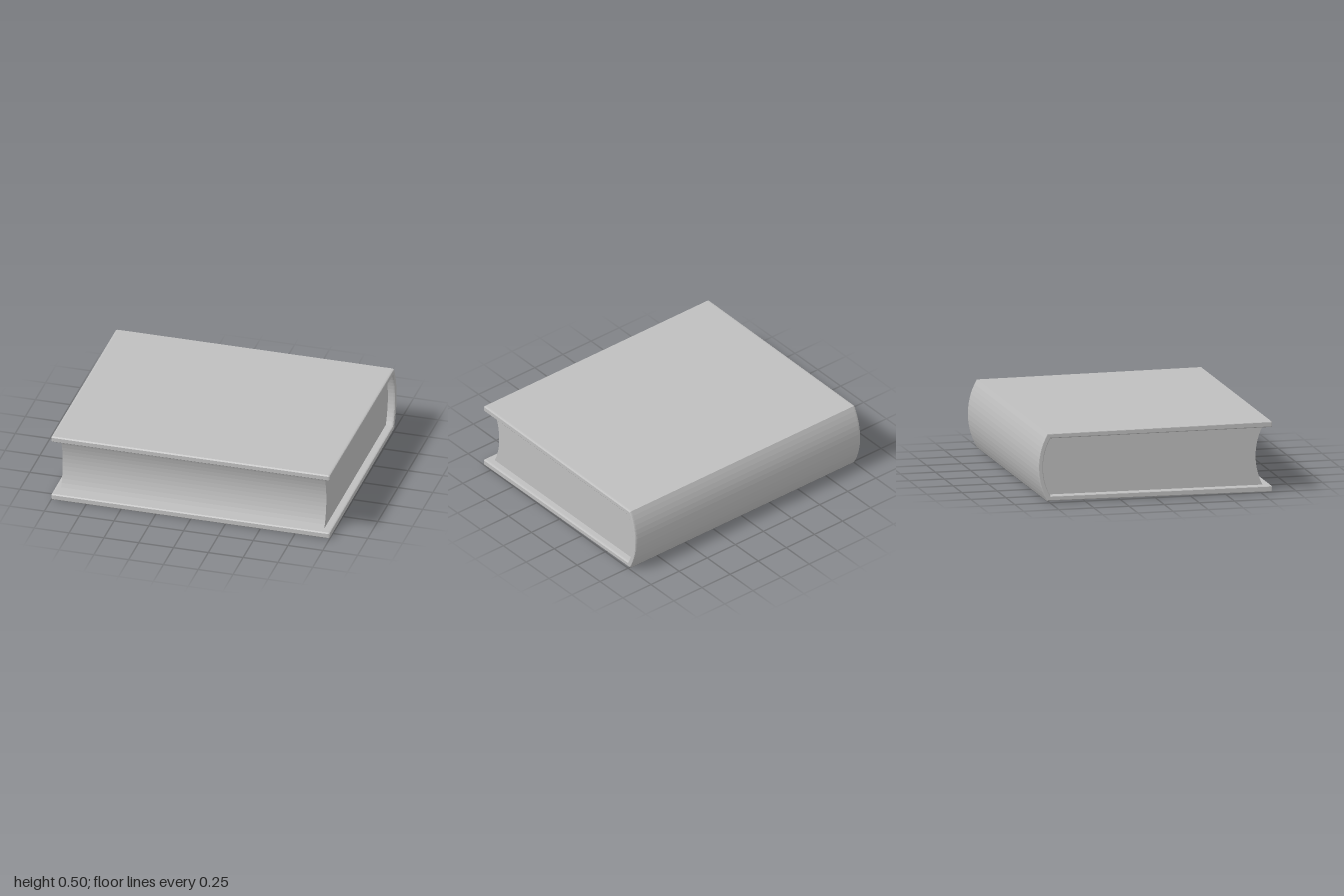
import * as THREE from 'three';

// Points on a shallow arc from (x, y0) to (x, y1), bulging along x by sag
function arc(x, sag, y0, y1, steps) {
  const half = Math.abs(y1 - y0) / 2;
  const r = (half * half + sag * sag) / (2 * sag);
  const a = Math.asin(half / r);
  return Array.from({ length: steps + 1 }, (_, i) => {
    const t = a * (2 * i / steps - 1);
    return new THREE.Vector2(
      x + r * (Math.cos(t) - Math.cos(a)),
      (y0 + y1) / 2 + Math.sign(y1 - y0) * r * Math.sin(t)
    );
  });
}

// Extrude a profile (u = -z, v = y) along the x axis between x0 and x1
function extrudeAlongX(points, x0, x1, bevel, bevelLength) {
  const geo = new THREE.ExtrudeGeometry(new THREE.Shape(points), {
    depth: x1 - x0 - 2 * bevelLength,
    bevelEnabled: bevel > 0,
    bevelSize: bevel,
    bevelOffset: -bevel,
    bevelThickness: bevelLength,
    bevelSegments: 3,
  });
  geo.rotateY(Math.PI / 2);
  geo.translate(x0 + bevelLength, 0, 0);
  return geo;
}

export function createModel() {
  const book = new THREE.Group();
  book.name = 'book';
  const grey = new THREE.MeshStandardMaterial({ color: 0xbfbfbf });
  grey.name = 'grey';
  const P = (x, y) => new THREE.Vector2(x, y);

  // Cover: two boards joined by a rounded spine, softened front edges
  const coverProfile = [
    P(-0.825, 0), ...arc(0.77, 0.064, 0.012, 0.488, 14),
    P(-0.825, 0.498), P(-0.834, 0.49), P(-0.834, 0.462), P(-0.825, 0.455),
    ...arc(0.745, 0.052, 0.451, 0.049, 14),
    P(-0.825, 0.045), P(-0.834, 0.038), P(-0.834, 0.008),
  ];
  const cover = new THREE.Mesh(extrudeAlongX(coverProfile, -1, 1, 0.007, 0.016), grey);
  cover.name = 'cover';
  book.add(cover);

  // Page block: hollowed front edge, rounded back tucked into the spine
  const pageProfile = [
    ...arc(0.75, 0.052, 0.042, 0.458, 14),
    ...arc(-0.777, 0.051, 0.458, 0.042, 14),
  ];
  const pages = new THREE.Mesh(extrudeAlongX(pageProfile, -0.948, 0.946, 0, 0), grey);
  pages.name = 'pages';
  book.add(pages);

  return book;
}
